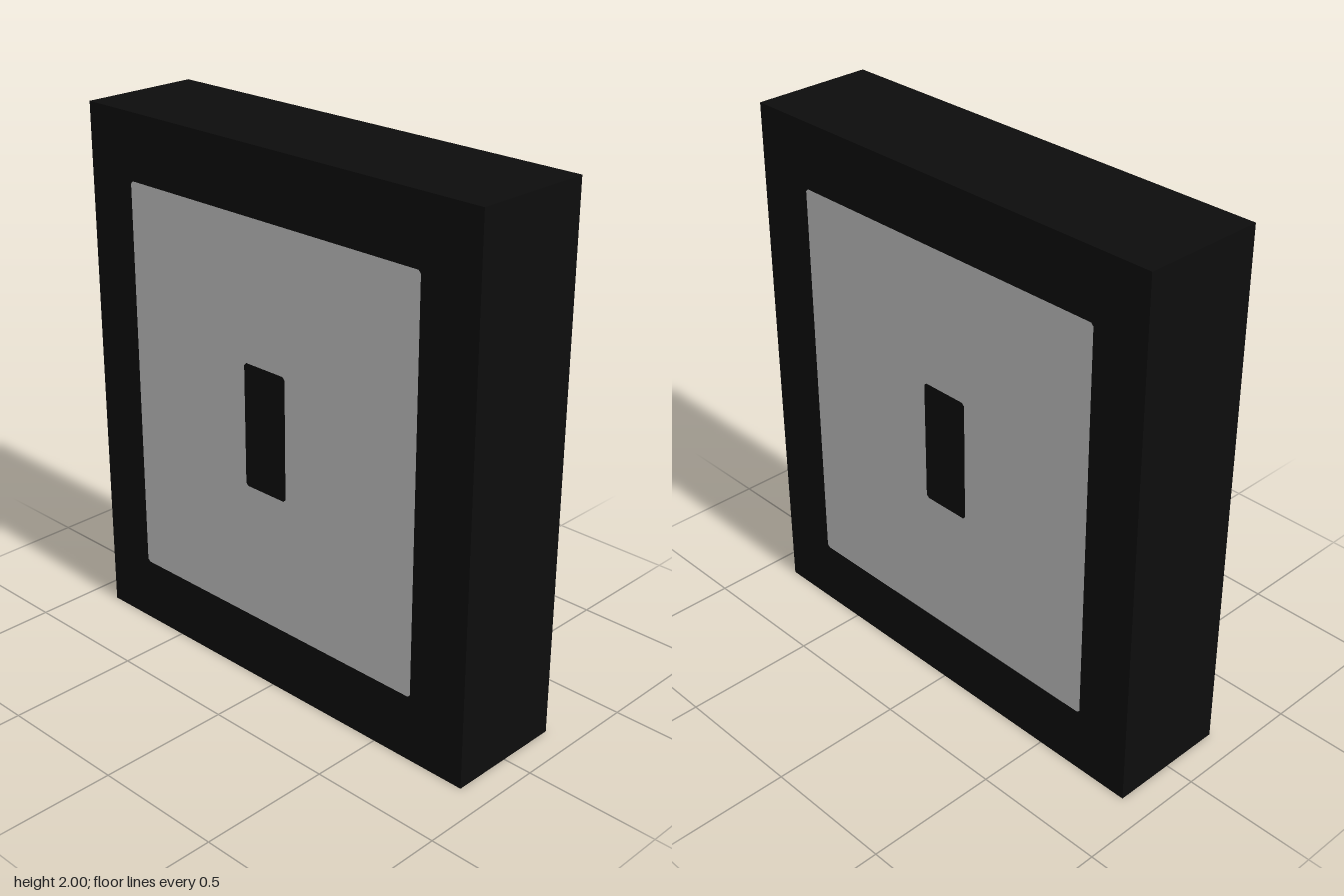
import * as THREE from 'three';

const DEPTH = 0.46;
const PROUD = 0.002; // how far the painted faces sit off the body

// Rectangle with small chamfered corners, traced into a Shape or Path
function traceRect(path, x0, x1, y0, y1, c = 0.01) {
  path.moveTo(x0 + c, y0);
  path.lineTo(x1 - c, y0);
  path.lineTo(x1, y0 + c);
  path.lineTo(x1, y1 - c);
  path.lineTo(x1 - c, y1);
  path.lineTo(x0 + c, y1);
  path.lineTo(x0, y1 - c);
  path.lineTo(x0, y0 + c);
  path.closePath();
  return path;
}

export function createModel() {
  const black = new THREE.MeshStandardMaterial({ color: 0x0d0d0d });
  black.name = 'black';
  const grey = new THREE.MeshStandardMaterial({ color: 0xc9c9c9 });
  grey.name = 'light grey';

  const model = new THREE.Group();
  model.name = 'framedPanel';

  const add = (name, geometry, material) => {
    const mesh = new THREE.Mesh(geometry, material);
    mesh.name = name;
    model.add(mesh);
    return mesh;
  };

  // Solid block forming the frame
  add('body', new THREE.BoxGeometry(1.78, 2, DEPTH), black).position.y = 1;

  // Panel and centre slot, in the same place on the front and the back
  const slot = [0.77, 1.235];
  for (const side of [1, -1]) {
    const label = side > 0 ? 'front' : 'back';
    // Outlines are mirrored for the back, which is turned half a circle
    const span = (a, b) => (side > 0 ? [a, b] : [-b, -a]);

    const panelShape = traceRect(new THREE.Shape(), ...span(-0.68, 0.66), 0.25, 1.755);
    panelShape.holes.push(traceRect(new THREE.Path(), ...span(-0.12, 0.075), ...slot));
    const slotShape = traceRect(new THREE.Shape(), ...span(-0.12, 0.075), ...slot);

    const parts = [
      add(label + 'Panel', new THREE.ShapeGeometry(panelShape), grey),
      add(label + 'Slot', new THREE.ShapeGeometry(slotShape), black),
    ];
    for (const part of parts) {
      part.position.z = side * (DEPTH / 2 + PROUD);
      if (side < 0) part.rotation.y = Math.PI;
    }
  }

  return model;
}
